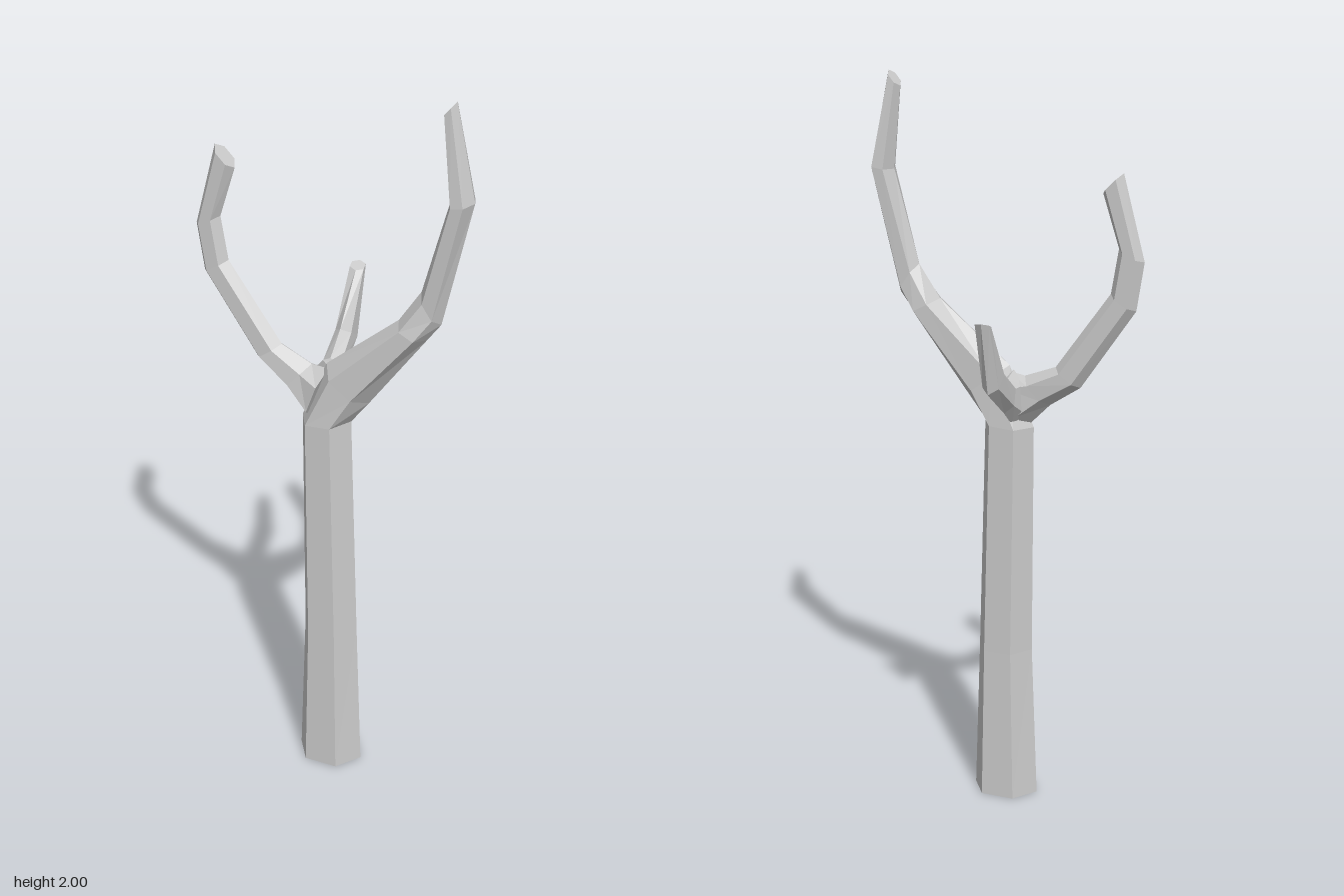
import * as THREE from 'three';

const material = new THREE.MeshStandardMaterial({ color: 0xcccccc, flatShading: true });

// Six-sided limb lofted through rings: [outer point, inner point, half width across]
function limb(name, rings, side) {
  const n = 6, pos = [], s = new THREE.Vector3(...side);
  const loops = rings.map(([outer, inner, w]) => {
    const p = new THREE.Vector3(...outer), q = new THREE.Vector3(...inner);
    const centre = p.clone().add(q).multiplyScalar(0.5);
    const half = p.clone().sub(q).multiplyScalar(0.5);
    return Array.from({ length: n }, (_, k) => {
      const a = (k / n) * Math.PI * 2;
      return centre.clone().addScaledVector(half, Math.cos(a))
        .addScaledVector(s, w * Math.sin(a) / Math.sin(Math.PI / 3));
    });
  });
  const tri = (...v) => v.forEach((p) => pos.push(p.x, p.y, p.z));
  for (let i = 0; i < loops.length - 1; i++) {
    const a = loops[i], b = loops[i + 1];
    for (let k = 0; k < n; k++) {
      const m = (k + 1) % n;
      tri(a[k], a[m], b[m]);
      tri(a[k], b[m], b[k]);
    }
  }
  // End caps
  const first = loops[0], last = loops[loops.length - 1];
  for (let k = 1; k < n - 1; k++) {
    tri(first[0], first[k + 1], first[k]);
    tri(last[0], last[k], last[k + 1]);
  }
  const geometry = new THREE.BufferGeometry();
  geometry.setAttribute('position', new THREE.Float32BufferAttribute(pos, 3));
  geometry.computeVertexNormals();
  const mesh = new THREE.Mesh(geometry, material);
  mesh.name = name;
  return mesh;
}

export function createModel() {
  const tree = new THREE.Group();
  tree.name = 'bareTree';

  // Trunk sweeping on into the tall left branch
  tree.add(limb('trunkAndLeftBranch', [
    [[0.09, 0, 0.1], [-0.095, 0, 0.1], 0.068],
    [[0.077, 0.43, 0.1], [-0.078, 0.43, 0.1], 0.064],
    [[0.06, 1.08, 0.1], [-0.08, 1.07, 0.1], 0.06],
    [[0.11, 1.145, 0.1], [-0.01, 1.235, 0.1], 0.053],
    [[0.268, 1.36, 0.098], [0.19, 1.4, 0.098], 0.048],
    [[0.305, 1.41, 0.097], [0.25, 1.49, 0.097], 0.032],
    [[0.385, 1.75, 0.098], [0.32, 1.74, 0.098], 0.04],
    [[0.333, 2, 0.098], [0.3, 1.96, 0.098], 0.022],
  ], [0, 0, -1]));

  // Curved right branch
  tree.add(limb('rightBranch', [
    [[-0.06, 1.07, 0.1], [-0.005, 1.22, 0.1], 0.05],
    [[-0.13, 1.14, 0.09], [-0.06, 1.215, 0.085], 0.036],
    [[-0.22, 1.2, 0.077], [-0.15, 1.25, 0.077], 0.027],
    [[-0.37, 1.42, 0.077], [-0.3, 1.46, 0.077], 0.025],
    [[-0.39, 1.55, 0.077], [-0.32, 1.58, 0.077], 0.025],
    [[-0.33, 1.775, 0.077], [-0.275, 1.72, 0.077], 0.025],
  ], [0, 0, 1]));

  // Short branch at the back
  tree.add(limb('backBranch', [
    [[-0.035, 1.08, 0.06], [-0.03, 1.23, 0.08], 0.032],
    [[-0.035, 1.13, 0], [-0.03, 1.215, 0.035], 0.026],
    [[-0.036, 1.21, -0.115], [-0.035, 1.265, -0.035], 0.023],
    [[-0.038, 1.41, -0.165], [-0.035, 1.395, -0.13], 0.02],
  ], [-1, 0, 0]));

  return tree;
}
